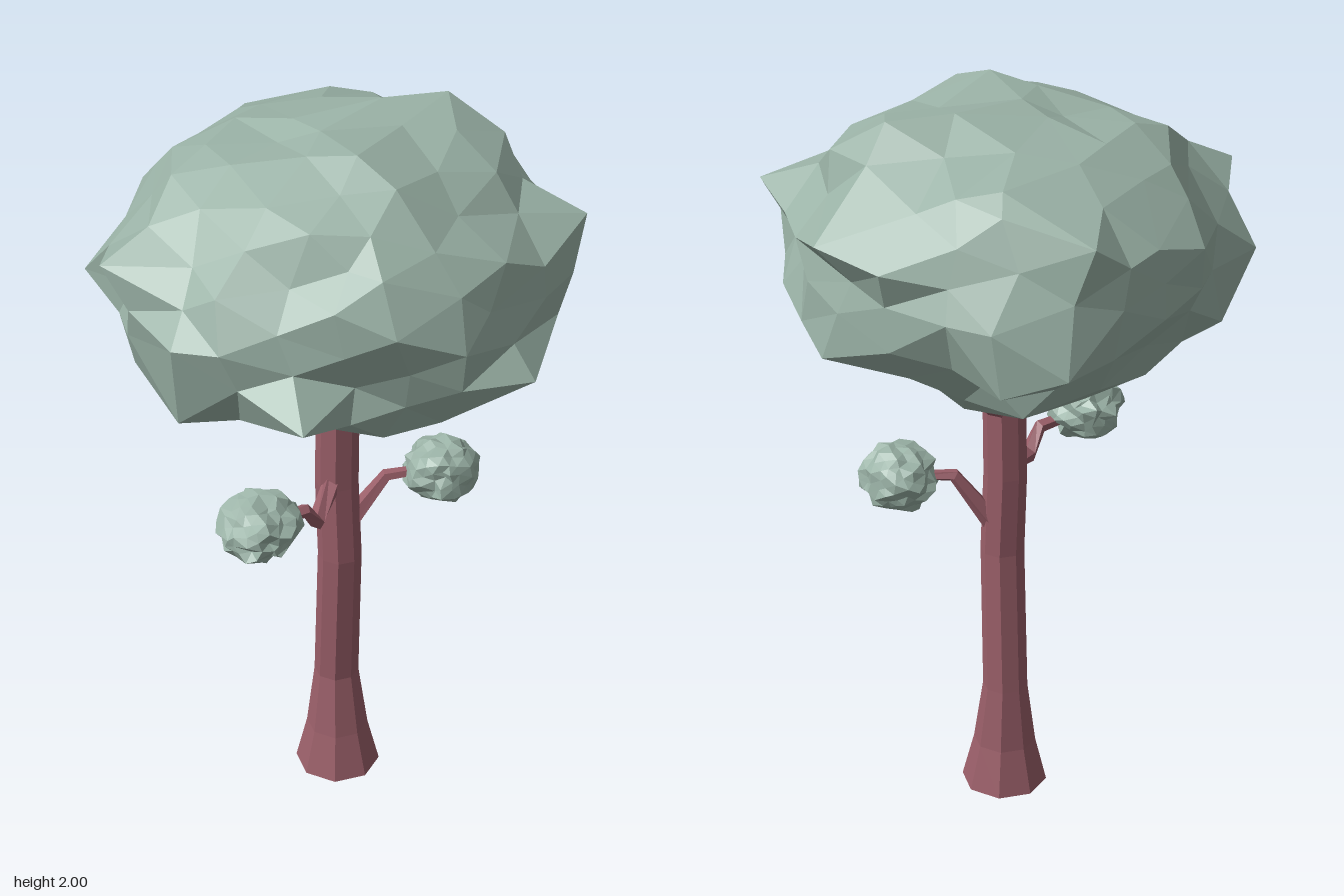
import * as THREE from 'three';
import { mergeVertices } from 'three/addons/utils/BufferGeometryUtils.js';

const bark = new THREE.MeshStandardMaterial({ color: 0x9a5f69 });
bark.name = 'bark';
const leaf = new THREE.MeshStandardMaterial({ color: 0x9bb3a7 });
leaf.name = 'leaf';

const V = (x, y, z) => new THREE.Vector3(x, y, z);

function seeded(seed) {
  return () => {
    seed = (seed * 1664525 + 1013904223) % 4294967296;
    return seed / 4294967296;
  };
}

function faceted(geometry) {
  const g = geometry.index ? geometry.toNonIndexed() : geometry;
  g.computeVertexNormals();
  return g;
}

// Closed prism through rings of [x, y, z, radius]; level keeps every ring horizontal
function limb(name, rings, sides, level = false) {
  const pts = rings.map(([x, y, z]) => V(x, y, z));
  const pos = [], index = [];
  rings.forEach(([, , , r], i) => {
    const t = level ? V(0, 1, 0)
      : pts[Math.min(i + 1, pts.length - 1)].clone().sub(pts[Math.max(i - 1, 0)]).normalize();
    const u = V(0.31, 0, 1).cross(t).normalize();
    const v = t.clone().cross(u);
    for (let j = 0; j < sides; j++) {
      const a = ((j + 0.5) / sides) * Math.PI * 2;
      const p = pts[i].clone().addScaledVector(u, r * Math.cos(a)).addScaledVector(v, r * Math.sin(a));
      pos.push(p.x, p.y, p.z);
    }
  });
  const last = (rings.length - 1) * sides;
  for (let j = 0; j < sides; j++) {
    const k = (j + 1) % sides;
    for (let i = 0; i < last; i += sides) {
      index.push(i + j, i + k, i + sides + j, i + k, i + sides + k, i + sides + j);
    }
    if (j > 0 && j < sides - 1) {
      index.push(0, j + 1, j, last, last + j, last + j + 1);
    }
  }
  const g = new THREE.BufferGeometry();
  g.setAttribute('position', new THREE.Float32BufferAttribute(pos, 3));
  g.setIndex(index);
  const mesh = new THREE.Mesh(faceted(g), bark);
  mesh.name = name;
  return mesh;
}

// Roughened ellipsoid, boxier below by the exponent; peaks pull the nearest corners to fixed points
function foliage(name, center, size, rough, seed, boxy, peaks = []) {
  const rand = seeded(seed);
  let g = new THREE.IcosahedronGeometry(1, 3);
  g.deleteAttribute('uv');
  g.deleteAttribute('normal');
  g = mergeVertices(g, 1e-4);
  const pos = g.attributes.position;
  const p = V(0, 0, 0);
  for (let i = 0; i < pos.count; i++) {
    p.fromBufferAttribute(pos, i);
    const n = p.y < 0 ? boxy : 2;
    const k = (Math.hypot(p.x, p.z) ** n + Math.abs(p.y) ** n) ** (-1 / n);
    p.multiplyScalar(k * (1 + rough * (0.3 - rand())));
    p.add(V(rand() - 0.5, (rand() - 0.5) * 0.6, rand() - 0.5).multiplyScalar(rough * 0.9));
    p.y = THREE.MathUtils.clamp(p.y, -0.98, 0.98);
    p.multiply(size).add(center);
    pos.setXYZ(i, p.x, p.y, p.z);
  }
  const used = new Set();
  for (const [x, y, z] of peaks) {
    const target = V(x, y, z);
    let best = -1, bestD = Infinity;
    for (let i = 0; i < pos.count; i++) {
      const d = p.fromBufferAttribute(pos, i).distanceTo(target);
      if (d < bestD && !used.has(i)) { best = i; bestD = d; }
    }
    used.add(best);
    // Neighbours follow part of the way, so each peak has a broad foot
    const start = V(0, 0, 0).fromBufferAttribute(pos, best);
    const move = target.clone().sub(start);
    for (let i = 0; i < pos.count; i++) {
      if (used.has(i)) continue;
      p.fromBufferAttribute(pos, i);
      p.addScaledVector(move, 0.45 * Math.exp(-((p.distanceTo(start) / 0.17) ** 2)));
      pos.setXYZ(i, p.x, p.y, p.z);
    }
    pos.setXYZ(best, x, y, z);
  }
  const mesh = new THREE.Mesh(faceted(g), leaf);
  mesh.name = name;
  return mesh;
}

export function createModel() {
  const tree = new THREE.Group();
  tree.name = 'tree';

  // Flared trunk with a gentle bend
  tree.add(limb('trunk', [
    [0.01, 0, -0.02, 0.117], [0.009, 0.13, -0.022, 0.085], [0.007, 0.31, -0.03, 0.061],
    [0.015, 0.72, -0.008, 0.059], [0.007, 0.95, -0.015, 0.058], [0.012, 1.4, -0.02, 0.056],
  ], 8, true));

  // Side branches carrying the small leaf clusters
  tree.add(limb('frontBranch', [
    [0, 0.97, 0, 0.027], [-0.05, 0.925, 0.14, 0.023], [-0.08, 0.99, 0.18, 0.019], [-0.19, 1.0, 0.26, 0.014],
  ], 5));
  tree.add(limb('leftBranch', [
    [0.02, 0.78, -0.02, 0.032], [0.14, 0.95, -0.035, 0.018], [0.28, 0.96, -0.055, 0.013],
  ], 5));

  // Upper branches reaching into the crown
  const tips = [[0.25, 1.27, 0.07], [-0.18, 1.28, 0.03], [0.08, 1.28, -0.18]];
  for (const [x, y, z] of tips) {
    tree.add(limb('upperBranch', [
      [0.01, 1.13, -0.015, 0.036], [x * 0.9, y - 0.02, z * 0.9, 0.03], [x, y + 0.07, z, 0.026],
    ], 5));
  }

  // Crown and small clusters
  tree.add(foliage('crown', V(0, 1.63, -0.03), V(0.55, 0.37, 0.54), 0.12, 77, 2.6, [
    [-0.625, 1.6, -0.02], [-0.57, 1.75, 0.23], [0.625, 1.76, 0.02], [-0.09, 1.5, 0.615],
    [0.55, 1.55, 0.15], [-0.16, 1.5, -0.615], [0, 1.45, -0.61], [0.13, 1.62, -0.57],
    [0.45, 1.75, -0.41], [0.475, 1.5, 0.385], [-0.39, 1.38, 0.36], [0.29, 1.99, -0.2],
    [0.05, 2, 0.16], [0.43, 1.9, -0.15], [-0.4, 1.87, -0.15], [0.3, 1.62, 0.46],
    [-0.22, 1.8, -0.53], [0.46, 1.36, 0.1], [0.05, 1.25, 0], [0.29, 1.72, -0.51],
    [-0.37, 1.75, -0.4], [-0.1, 1.97, -0.1], [-0.42, 1.33, 0], [0.1, 1.28, -0.31],
    [-0.54, 1.44, -0.12], [0.5, 1.5, -0.28], [0.1, 1.82, 0.45], [0, 1.9, -0.42],
    [-0.25, 1.28, -0.1], [0.05, 1.32, 0.28], [-0.48, 1.6, -0.28], [-0.4, 1.62, 0.42],
  ]));
  tree.add(foliage('frontCluster', V(-0.2, 1.01, 0.27), V(0.106, 0.088, 0.115), 0.24, 5, 2));
  tree.add(foliage('leftCluster', V(0.285, 0.957, -0.055), V(0.104, 0.088, 0.106), 0.17, 23, 2));

  return tree;
}
